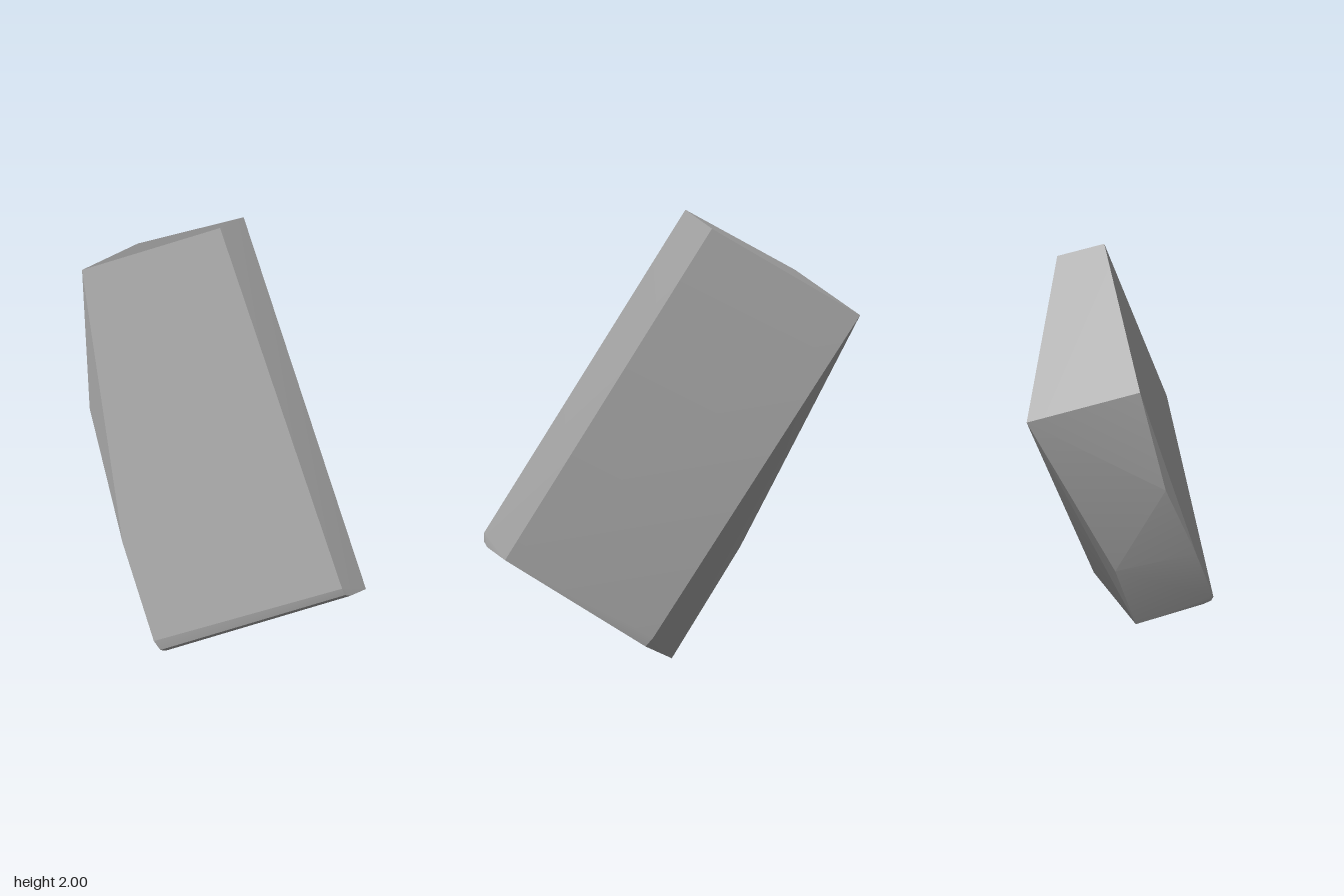
import * as THREE from 'three';
import { ConvexGeometry } from 'three/addons/geometries/ConvexGeometry.js';
import { toCreasedNormals } from 'three/addons/utils/BufferGeometryUtils.js';

// Corners of the faceted rock slab, grouped by region
const corners = {
  top: [[-0.08, 2.0, -0.135], [-0.14, 1.95, -0.33]],
  leftShoulder: [[-0.66, 1.65, 0.14], [-0.81, 1.53, -0.33]],
  rightTip: [[0.8, 0.61, -0.037], [0.805, 0.575, -0.05], [0.8, 0.555, -0.085], [0.76, 0.52, -0.215]],
  frontRidge: [[-0.52, 1.05, 0.225], [-0.23, 0.53, 0.3], [0.0, 0.15, 0.33], [0.025, 0.11, 0.315], [0.02, 0.09, 0.28]],
  foot: [[-0.36, 0.48, -0.03], [-0.06, 0, 0]],
  backFoot: [[0.12, 0.1, -0.2], [0.09, 0.14, -0.215]],
};

export function createModel() {
  const stone = new THREE.MeshStandardMaterial({ color: 0xa6a6a6 });
  stone.name = 'stone grey';

  // The slab is the solid wrapped around its corners, with only slight folds softened
  const points = Object.values(corners).flat().map((p) => new THREE.Vector3(...p));
  const slab = new THREE.Mesh(toCreasedNormals(new ConvexGeometry(points), 0.25), stone);
  slab.name = 'rockSlab';

  const group = new THREE.Group();
  group.name = 'rock';
  group.add(slab);
  return group;
}
